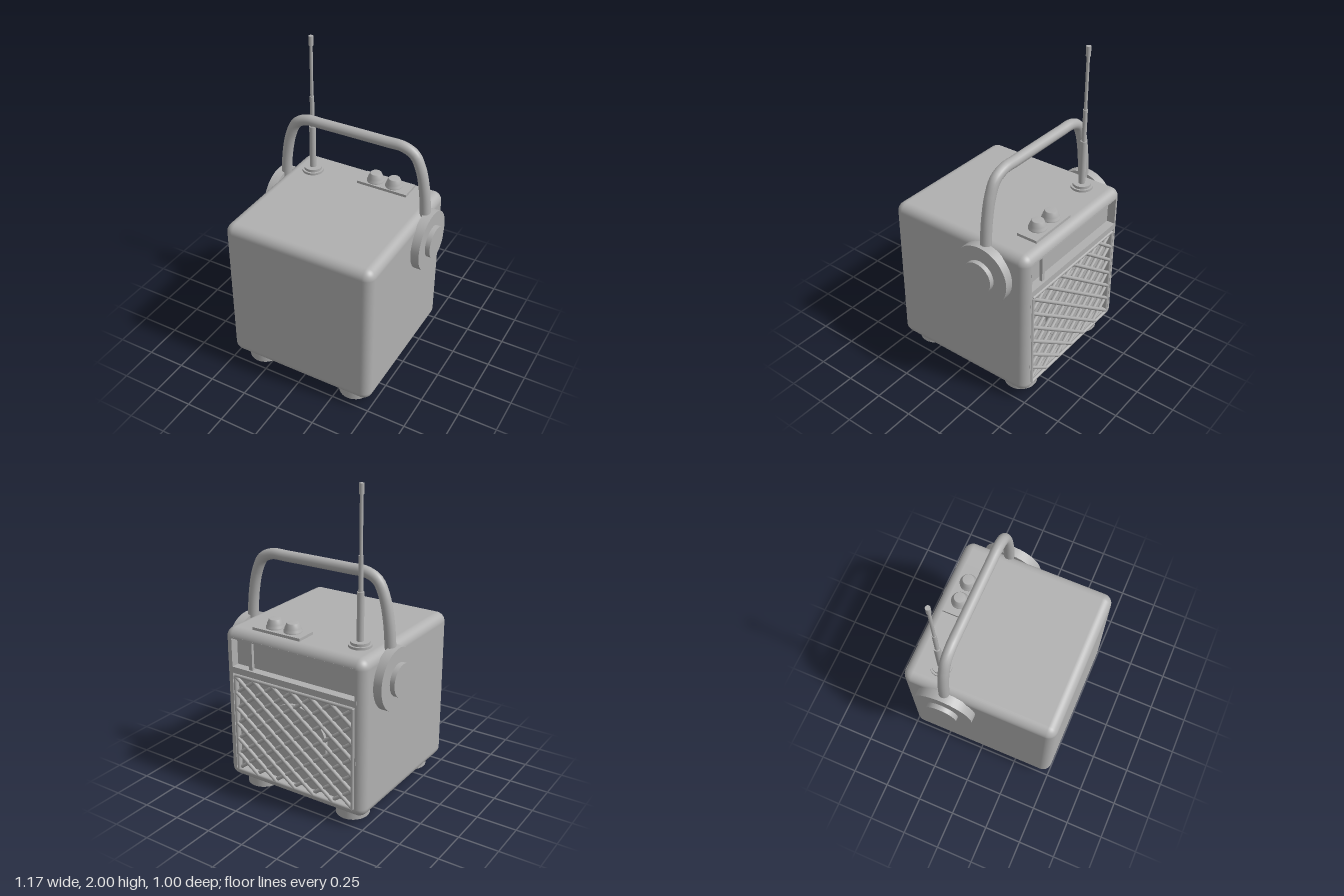
import * as THREE from 'three';
import { RoundedBoxGeometry } from 'three/addons/geometries/RoundedBoxGeometry.js';

export function createModel() {
  const model = new THREE.Group();
  model.name = 'portableRadio';
  const grey = new THREE.MeshStandardMaterial({ color: 0xb0b0b0 });
  grey.name = 'plain grey';

  function add(name, geometry, x = 0, y = 0, z = 0, parent = model) {
    const mesh = new THREE.Mesh(geometry, grey);
    mesh.name = name;
    mesh.position.set(x, y, z);
    parent.add(mesh);
    return mesh;
  }
  const box = (name, w, h, d, x, y, z, parent) =>
    add(name, new THREE.BoxGeometry(w, h, d), x, y, z, parent);
  // upright cylinder between two heights
  const post = (name, r0, r1, y0, y1, x, z, parent) =>
    add(name, new THREE.CylinderGeometry(r1, r0, y1 - y0, 32), x, (y0 + y1) / 2, z, parent);
  // round rod between two points
  function rod(name, a, b, r, parent) {
    const dir = b.clone().sub(a);
    const mid = a.clone().add(b).multiplyScalar(0.5);
    const mesh = add(name, new THREE.CylinderGeometry(r, r, dir.length(), 8), mid.x, mid.y, mid.z, parent);
    mesh.quaternion.setFromUnitVectors(new THREE.Vector3(0, 1, 0), dir.normalize());
  }

  // Case: rounded box whose flat back panel is removed to open a recess
  const W = 1, H = 1.005, R = 0.06, CY = 0.5625;
  const shell = new RoundedBoxGeometry(W, H, 1, 6, R);
  const kept = { position: [], normal: [] };
  const pos = shell.attributes.position;
  for (let i = 0; i < pos.count; i += 3) {
    if ([0, 1, 2].every(k => pos.getZ(i + k) < -0.4999)) continue;
    for (const key in kept) {
      const a = shell.attributes[key];
      for (let k = 0; k < 3; k++) kept[key].push(a.getX(i + k), a.getY(i + k), a.getZ(i + k));
    }
  }
  const caseGeometry = new THREE.BufferGeometry();
  for (const key in kept) caseGeometry.setAttribute(key, new THREE.Float32BufferAttribute(kept[key], 3));
  add('case', caseGeometry, 0, CY, 0);

  // Recess walls and inner panel
  const ow = W - 2 * R, oh = H - 2 * R, depth = 0.06;
  const recess = new THREE.Group();
  recess.name = 'recess';
  model.add(recess);
  box('innerPanel', ow + 0.02, oh + 0.02, 0.01, 0, CY, -0.5 + depth, recess);
  for (const s of [-1, 1]) {
    box('sideWall', 0.01, oh, depth, s * (ow / 2 + 0.005), CY, -0.4695, recess);
    box('endWall', ow, 0.01, depth, 0, CY + s * (oh / 2 + 0.005), -0.4695, recess);
  }
  box('divider', ow, 0.04, depth, 0, 0.8, -0.47, recess);
  box('tuningNeedle', 0.025, 0.185, 0.02, 0.31, 0.912, -0.475, recess);

  // Speaker disc behind the grille
  const speaker = add('speaker', new THREE.CylinderGeometry(0.22, 0.22, 0.02, 40), 0, 0.44, -0.455, recess);
  speaker.rotation.x = Math.PI / 2;

  // Grille: crossed rods clipped to a rectangle, with a thin border
  const grille = new THREE.Group();
  grille.name = 'grille';
  model.add(grille);
  const gx = 0.425, y0 = 0.115, y1 = 0.765, slope = 0.75, step = 0.14;
  for (const s of [-1, 1]) {
    const z = s > 0 ? -0.493 : -0.483;
    for (let i = -6; i <= 6; i++) {
      const c = i * step;
      const yMid = (y0 + y1) / 2, reach = (y1 - y0) / 2 / slope;
      const xa = Math.max(-gx, c - reach), xb = Math.min(gx, c + reach);
      if (xb - xa < 0.03) continue;
      const at = x => new THREE.Vector3(s * x, yMid + slope * (x - c), z);
      rod('grilleRod', at(xa), at(xb), 0.012, grille);
    }
    rod('grilleSide', new THREE.Vector3(s * gx, y0, -0.494), new THREE.Vector3(s * gx, y1, -0.494), 0.011, grille);
    const y = s > 0 ? y1 : y0;
    rod('grilleEdge', new THREE.Vector3(-gx, y, -0.494), new THREE.Vector3(gx, y, -0.494), 0.011, grille);
  }

  // Feet and handle pivots
  for (const s of [-1, 1]) {
    for (const z of [0.36, -0.35]) post('foot', 0.104, 0.104, 0, 0.075, s * 0.338, z);
    const hub = add('handleHub', new THREE.CylinderGeometry(0.193, 0.193, 0.06, 48), s * 0.524, 0.875, -0.21);
    const cap = add('hubCap', new THREE.CylinderGeometry(0.102, 0.102, 0.04, 40), s * 0.565, 0.875, -0.21);
    hub.rotation.z = cap.rotation.z = Math.PI / 2;
  }

  // Carrying handle
  const half = [[0.5, 0.9], [0.495, 1.08], [0.48, 1.23], [0.45, 1.36], [0.405, 1.445], [0.33, 1.48], [0.22, 1.482]];
  const points = [...half.map(([x, y]) => [-x, y]), ...half.slice().reverse()]
    .map(([x, y]) => new THREE.Vector3(x, y, -0.213));
  add('handle', new THREE.TubeGeometry(new THREE.CatmullRomCurve3(points), 80, 0.034, 16));

  // Telescopic antenna
  const antenna = new THREE.Group();
  antenna.name = 'antenna';
  model.add(antenna);
  const stages = [
    ['antennaBase', 0.07, 1.06, 1.08], ['antennaCollar', 0.057, 1.08, 1.097],
    ['lowerMast', 0.021, 1.09, 1.39], ['middleMast', 0.014, 1.39, 1.6],
    ['upperMast', 0.01, 1.6, 1.94], ['antennaTip', 0.015, 1.94, 2],
  ];
  for (const [name, r, a, b] of stages) post(name, r, r, a, b, -0.348, -0.3, antenna);

  // Control plate with two stepped knobs
  box('controlPlate', 0.344, 0.025, 0.138, 0.15, 1.07, -0.37);
  const profile = [[0.056, 1.08], [0.056, 1.092], [0.048, 1.1], [0.05, 1.108], [0.037, 1.137], [0.034, 1.14], [0, 1.14]]
    .map(([r, y]) => new THREE.Vector2(r, y));
  for (const x of [0.078, 0.208]) add('knob', new THREE.LatheGeometry(profile, 32), x, 0, -0.365);

  return model;
}
